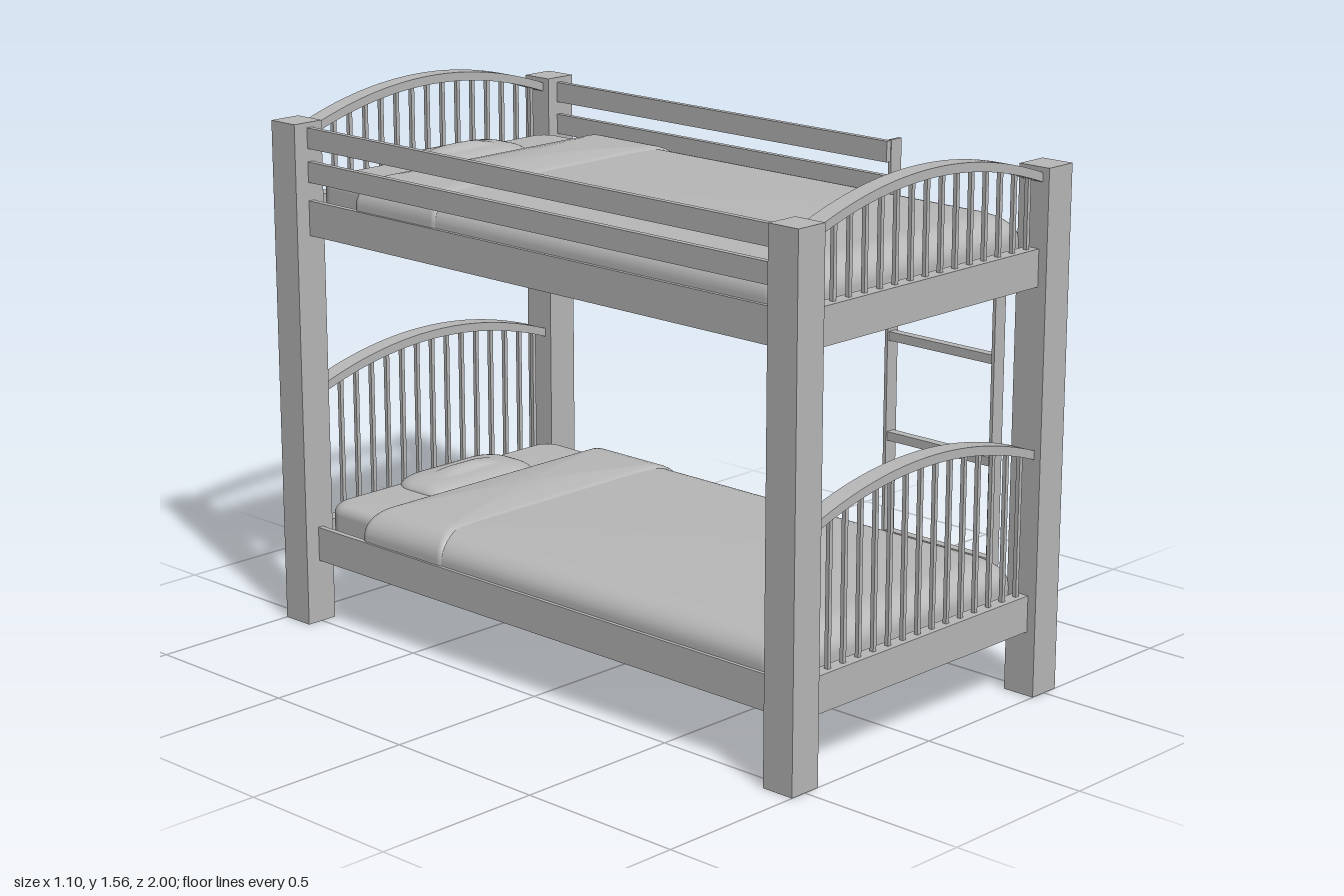
import * as THREE from 'three';

const grey = new THREE.MeshStandardMaterial({ color: 0xb8b8b8 });
grey.name = 'plain grey';

function add(parent, name, geometry) {
  const mesh = new THREE.Mesh(geometry, grey);
  mesh.name = name;
  parent.add(mesh);
  return mesh;
}

// Box given by its minimum and maximum on each axis
function box(parent, name, [x0, x1], [y0, y1], [z0, z1]) {
  const mesh = add(parent, name, new THREE.BoxGeometry(x1 - x0, y1 - y0, z1 - z0));
  mesh.position.set((x0 + x1) / 2, (y0 + y1) / 2, (z0 + z1) / 2);
  return mesh;
}

// Soft slab: a rounded-rectangle outline lofted through shrinking rings
function softSlab(parent, name, { hw, z0, z1, y0, y1, r, ix, iz, crown = 0, wall = 0.3 }) {
  const hd = (z1 - z0) / 2, zc = (z0 + z1) / 2;
  const outline = [];
  const corners = [[1, 1], [-1, 1], [-1, -1], [1, -1]];
  corners.forEach(([sx, sz], q) => {
    for (let k = 0; k <= 8; k++) {
      const a = (q + k / 8) * Math.PI / 2;
      outline.push([sx * (hw - r) + r * Math.cos(a), sz * (hd - r) + r * Math.sin(a)]);
    }
  });
  // Rings as [x scale, z scale, height]; the repeated ring keeps the base edge sharp
  const top = y1 - crown, ys = y0 + (top - y0) * wall;
  const rings = [[0, 0, y0], [1, 1, y0], [1, 1, y0]];
  for (let k = 0; k <= 8; k++) {
    const a = k / 8 * Math.PI / 2, inset = 1 - Math.cos(a);
    rings.push([1 - ix / hw * inset, 1 - iz / hd * inset, ys + (top - ys) * Math.sin(a)]);
  }
  const [ex, ez] = rings[rings.length - 1];
  for (const s of [0.85, 0.6, 0.3, 0]) rings.push([ex * s, ez * s, top + crown * (1 - s * s)]);

  const n = outline.length, positions = [], index = [];
  rings.forEach(([sx, sz, y], i) => {
    outline.forEach(([x, z], j) => {
      positions.push(x * sx, y, zc + z * sz);
      if (i === rings.length - 1) return;
      const a = i * n + j, b = i * n + (j + 1) % n;
      index.push(a, a + n, b, b, a + n, b + n);
    });
  });
  const g = new THREE.BufferGeometry();
  g.setAttribute('position', new THREE.Float32BufferAttribute(positions, 3));
  g.setIndex(index);
  g.computeVertexNormals();
  return add(parent, name, g);
}

// Headboard or footboard: bottom rail, spindles and arched top rail
function endBoard(parent, name, side, railY, archY) {
  const board = new THREE.Group();
  board.name = name;
  parent.add(board);
  const rise = 0.083, half = 0.455;
  const arch = x => archY + rise * (1 - (x / half) ** 2);

  box(board, 'endRail', [-half, half], [railY, railY + 0.105], [-0.022, 0.022]);

  const upper = [], lower = [];
  for (let i = 0; i <= 28; i++) {
    const x = -half + 2 * half * i / 28;
    upper.push(new THREE.Vector2(x, arch(x)));
    lower.unshift(new THREE.Vector2(x, arch(x) - 0.026));
  }
  const g = new THREE.ExtrudeGeometry(new THREE.Shape([...lower, ...upper]), { depth: 0.056, bevelEnabled: false });
  add(board, 'archedRail', g.translate(0, 0, -0.028));

  for (let i = -7; i <= 7; i++) {
    const x = i * 0.0603;
    box(board, 'spindle', [x - 0.006, x + 0.006], [railY + 0.1, arch(x) - 0.015], [-0.006, 0.006]);
  }
  board.position.z = side * 0.951;
}

// One bunk: side rails, slats, mattress and bedding
function bunk(parent, name, y) {
  const bed = new THREE.Group();
  bed.name = name;
  bed.position.y = y;
  parent.add(bed);

  for (const s of [-1, 1]) {
    box(bed, 'sideRail', [s * 0.495 - 0.009, s * 0.495 + 0.009], [0, 0.102], [-0.905, 0.905]);
  }
  for (let i = 0; i < 16; i++) {
    const z = -0.84 + i * 0.112;
    box(bed, 'slat', [-0.488, 0.488], [0.06, 0.08], [z - 0.033, z + 0.033]);
  }

  softSlab(bed, 'mattress', { hw: 0.45, z0: -0.92, z1: 0.86, y0: 0.08, y1: 0.165, r: 0.05, ix: 0.03, iz: 0.03, wall: 0.6 });
  softSlab(bed, 'blanket', { hw: 0.493, z0: -0.62, z1: 0.912, y0: 0.081, y1: 0.194, r: 0.075, ix: 0.1, iz: 0.1, crown: 0.006 });
  softSlab(bed, 'blanketFold', { hw: 0.497, z0: -0.72, z1: -0.37, y0: 0.082, y1: 0.208, r: 0.025, ix: 0.1, iz: 0.06, crown: 0.012 });
  softSlab(bed, 'pillow', { hw: 0.21, z0: -0.92, z1: -0.685, y0: 0.14, y1: 0.212, r: 0.085, ix: 0.09, iz: 0.08, crown: 0.015, wall: 0.35 });
}

export function createModel() {
  const model = new THREE.Group();
  model.name = 'bunkBed';

  // Corner posts
  for (const x of [-0.5, 0.5]) for (const z of [-0.95, 0.95]) {
    box(model, 'cornerPost', [x - 0.05, x + 0.05], [0, 1.493], [z - 0.05, z + 0.05]);
  }

  // Two bunks with their end boards
  bunk(model, 'lowerBunk', 0.188);
  bunk(model, 'upperBunk', 1.165);
  for (const side of [-1, 1]) {
    const label = side > 0 ? 'Footboard' : 'Headboard';
    endBoard(model, 'lower' + label, side, 0.186, 0.707);
    endBoard(model, 'upper' + label, side, 1.165, 1.477);
  }

  // Guard rails: full length on the right, stopping at the ladder on the left
  for (const [y0, y1] of [[1.32, 1.38], [1.418, 1.478]]) {
    box(model, 'rightGuardRail', [-0.504, -0.486], [y0, y1], [-0.905, 0.905]);
    box(model, 'leftGuardRail', [0.486, 0.504], [y0, y1], [-0.905, 0.408]);
  }

  // Ladder
  const ladder = new THREE.Group();
  ladder.name = 'ladder';
  model.add(ladder);
  box(ladder, 'longLadderRail', [0.503, 0.547], [0.19, 1.48], [0.4, 0.41]);
  box(ladder, 'shortLadderRail', [0.503, 0.547], [0.19, 1.266], [0.782, 0.792]);
  for (const y of [0.328, 0.622, 0.916]) {
    box(ladder, 'rung', [0.508, 0.536], [y - 0.013, y + 0.013], [0.405, 0.787]);
  }
  return model;
}
